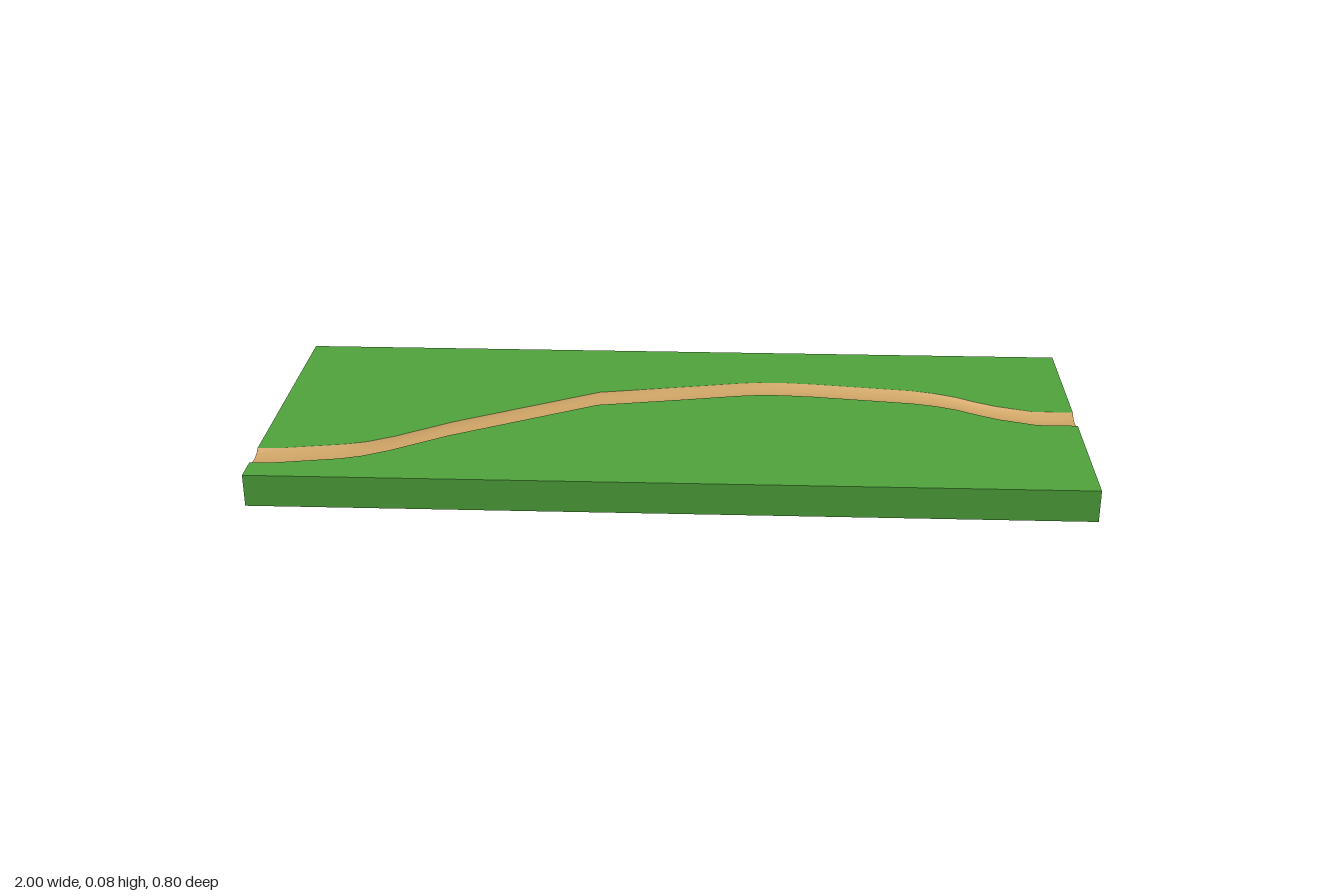
import * as THREE from 'three';
import { mergeGeometries } from 'three/addons/utils/BufferGeometryUtils.js';

const H = 0.08, L = 1, W = 0.4;          // height, half length, half depth
const R = 0.04, DEPTH = 0.012;           // half width and depth of the trail

// Centre line of the trail as [x, z]
const TRAIL = [
  [-1, 0.29], [-0.94, 0.288], [-0.79, 0.26], [-0.74, 0.243], [-0.68, 0.21],
  [-0.55, 0.12], [-0.2, -0.078], [0, -0.117], [0.16, -0.15], [0.21, -0.157],
  [0.27, -0.158], [0.35, -0.152], [0.6, -0.12], [0.66, -0.105], [0.71, -0.085],
  [0.76, -0.055], [0.81, -0.03], [0.9, 0], [1, 0],
];

// Surface through rows of points; faces along (next point) x (next row)
function strip(rows) {
  const n = rows[0].length, index = [];
  for (let i = 0; i < rows.length - 1; i++) {
    for (let j = 0; j < n - 1; j++) {
      const a = i * n + j, b = a + n;
      index.push(a, a + 1, b, a + 1, b + 1, b);
    }
  }
  const geo = new THREE.BufferGeometry();
  geo.setAttribute('position', new THREE.Float32BufferAttribute(rows.flat(2), 3));
  geo.setIndex(index);
  geo.computeVertexNormals();
  return geo;
}

// Rounded hollow across the trail, from back edge to front edge
function hollow([x, z], steps = 12) {
  return Array.from({ length: steps + 1 }, (_, j) => {
    const t = -Math.cos((j / steps) * Math.PI);
    return [x, H - DEPTH * (1 - Math.abs(t) ** 2.4), z + t * R];
  });
}

// End wall notched where the trail leaves the slab
function endWall(point, side) {
  const x = point[0];
  const top = [[x, H, -W], ...hollow(point), [x, H, W]];
  const base = top.map(([, , z]) => [x, 0, z]);
  return strip(side > 0 ? [top, base] : [base, top]);
}

export function createModel() {
  const group = new THREE.Group();
  const add = (name, geo, color) => {
    const mesh = new THREE.Mesh(geo, new THREE.MeshStandardMaterial({ color }));
    mesh.name = name;
    group.add(mesh);
  };

  // Grass: top on both sides of the trail, long walls and end walls
  add('grass', mergeGeometries([
    strip(TRAIL.map(([x, z]) => [[x, H, -W], [x, H, z - R]])),
    strip(TRAIL.map(([x, z]) => [[x, H, z + R], [x, H, W]])),
    strip([0, H].map((y) => [[-L, y, W], [L, y, W]])),
    strip([0, H].map((y) => [[L, y, -W], [-L, y, -W]])),
    endWall(TRAIL[0], -1),
    endWall(TRAIL[TRAIL.length - 1], 1),
  ]), 0x50a53c);

  // Sunken dirt trail
  add('dirtTrail', strip(TRAIL.map((p) => hollow(p))), 0xd2a768);

  // Soil underside
  add('soilBase', strip([-L, L].map((x) => [[x, 0, W], [x, 0, -W]])), 0x5c482e);

  return group;
}
